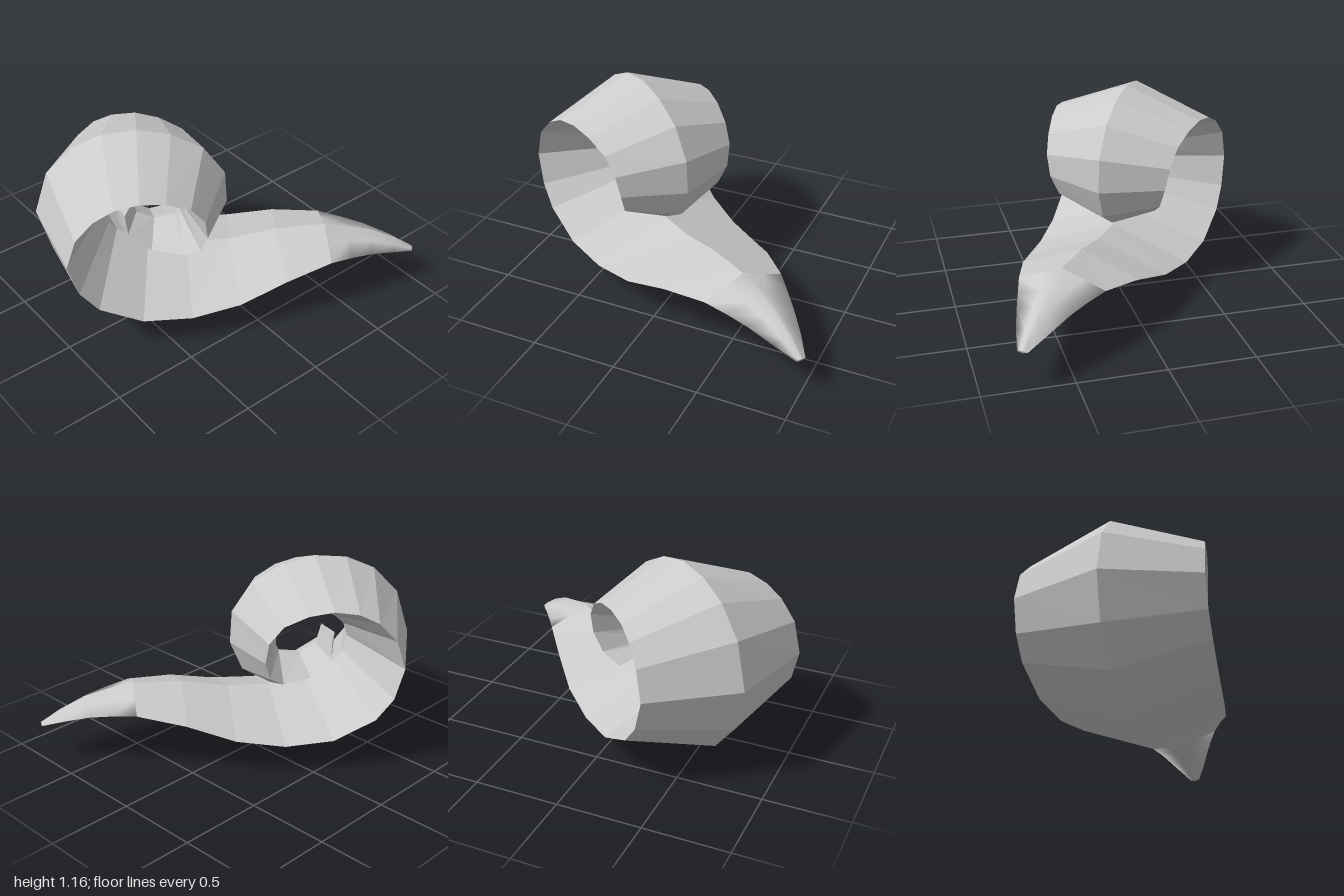
import * as THREE from 'three';

// Rows along the horn: [distance along its heading, height, half width, half thickness]
const BODY = [
  [0.713, 0.345, 0.254, 0.095], [0.44, 0.30, 0.35, 0.125], [0.165, 0.215, 0.43, 0.153],
  [-0.115, 0.175, 0.476, 0.175], [-0.395, 0.2, 0.508, 0.186], [-0.637, 0.32, 0.525, 0.19],
  [-0.74, 0.445, 0.527, 0.19], [-0.795, 0.63, 0.525, 0.19], [-0.74, 0.805, 0.52, 0.188],
  [-0.64, 0.91, 0.5, 0.185], [-0.53, 0.965, 0.48, 0.18], [-0.39, 0.985, 0.46, 0.175],
  [-0.25, 0.96, 0.435, 0.168], [-0.115, 0.895, 0.405, 0.16], [-0.035, 0.79, 0.385, 0.153],
  [-0.02, 0.66, 0.36, 0.14], [-0.057, 0.54, 0.32, 0.125], [-0.15, 0.468, 0.26, 0.108],
  [-0.33, 0.465, 0.2, 0.085], [-0.46, 0.56, 0.165, 0.065], [-0.475, 0.665, 0.13, 0.05],
];
// Extra value: how far the faces are pulled in between the corners
const TIP = [
  [1.255, 0.222, 0.03, 0.012, 1], [1.13, 0.268, 0.09, 0.042, 0.75], [0.98, 0.312, 0.15, 0.068, 0.7],
  [0.85, 0.332, 0.2, 0.082, 0.65], [0.713, 0.345, 0.254, 0.095, 1],
];

// Heading in plan and the sideways offset of the spine
const HX = 0.828, HZ = 0.561, OFFSET = -0.085;
const place = (s, y, w) => [HX * s + HZ * (w + OFFSET), y, HZ * s - HX * (w + OFFSET)];

// Corners of one diamond section, square to the spine; "pull" adds concave mid points
function section(rows, i, before, after) {
  const [s, y, h, t, pull] = rows[i];
  const a = rows[i - 1] || before || rows[i], b = rows[i + 1] || after || rows[i];
  const ds = b[0] - a[0], dy = b[1] - a[1], len = Math.hypot(ds, dy);
  const ns = dy / len, ny = -ds / len;
  const at = (u, v) => place(s + ns * u * t, y + ny * u * t, v * h);
  const corners = [[1, 0], [0, 1], [-1, 0], [0, -1]];
  const ring = [];
  corners.forEach(([u, v], k) => {
    ring.push(at(u, v));
    if (pull !== undefined) {
      const [u2, v2] = corners[(k + 1) % 4];
      ring.push(at((u + u2) / 2 * pull, (v + v2) / 2 * pull));
    }
  });
  return ring;
}

// Skin a list of sections, with an optional cap at either end
function loft(rings, capStart, capEnd) {
  const n = rings[0].length, index = [];
  for (let i = 0; i < rings.length - 1; i++) {
    for (let j = 0; j < n; j++) {
      const a = i * n + j, b = i * n + (j + 1) % n;
      index.push(a, b, a + n, b, b + n, a + n);
    }
  }
  const last = (rings.length - 1) * n;
  for (let j = 1; j < n - 1; j++) {
    if (capStart) index.push(0, j + 1, j);
    if (capEnd) index.push(last, last + j, last + j + 1);
  }
  const g = new THREE.BufferGeometry();
  g.setAttribute('position', new THREE.Float32BufferAttribute(rings.flat(2), 3));
  g.setIndex(index);
  g.computeVertexNormals();
  return g;
}

export function createModel() {
  const group = new THREE.Group();
  group.name = 'curledHorn';
  const add = (name, geometry, flatShading) => {
    const mesh = new THREE.Mesh(geometry, new THREE.MeshStandardMaterial({ color: 0xcccccc, flatShading }));
    mesh.name = name;
    group.add(mesh);
  };
  // Faceted spiral body
  add('spiralBody', loft(BODY.map((_, i) => section(BODY, i, TIP[3])), false, true), true);
  // Smooth fluted point
  add('flutedTip', loft(TIP.map((_, i) => section(TIP, i, null, BODY[1])), true, false), false);
  return group;
}
